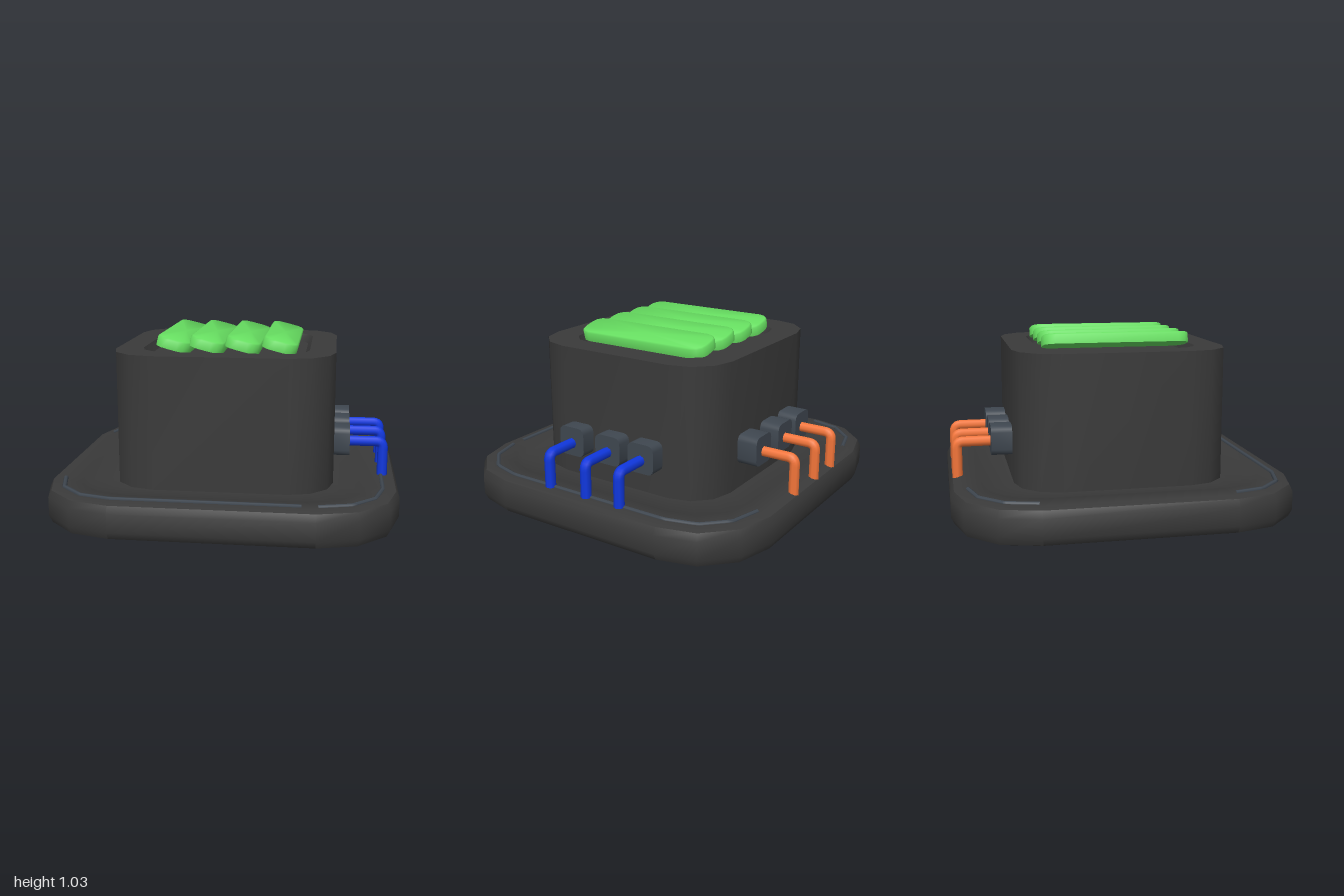
import * as THREE from 'three';
import { toCreasedNormals } from 'three/addons/utils/BufferGeometryUtils.js';

const paint = (color) => new THREE.MeshStandardMaterial({ color });

// Outline of a rectangle whose corners are cut into three facets
function outline(hx, hz, r) {
  const pts = [];
  for (let q = 0; q < 4; q++) {
    const sx = q === 0 || q === 3 ? 1 : -1, sz = q < 2 ? 1 : -1;
    for (let k = 0; k < 4; k++) {
      const a = (q + k / 3) * Math.PI / 2;
      pts.push([sx * (hx - r) + r * Math.cos(a), sz * (hz - r) + r * Math.sin(a)]);
    }
  }
  return pts;
}

// Skin through stacked outlines, each given as [halfX, halfZ, cornerRadius, y]
function loft(rings, crease = 0.75) {
  const pos = [], idx = [], n = 16;
  for (const [hx, hz, r, y] of rings) for (const [x, z] of outline(hx, hz, r)) pos.push(x, y, z);
  for (let k = 0; k < rings.length - 1; k++) {
    for (let i = 0; i < n; i++) {
      const a = k * n + i, b = k * n + (i + 1) % n;
      idx.push(a, a + n, b, b, a + n, b + n);
    }
  }
  const g = new THREE.BufferGeometry();
  g.setAttribute('position', new THREE.Float32BufferAttribute(pos, 3));
  g.setIndex(idx);
  return toCreasedNormals(g, crease);
}

// Tube that follows straight runs through the points
function wire(points, radius, sides) {
  const path = new THREE.CurvePath();
  for (let i = 1; i < points.length; i++) path.add(new THREE.LineCurve3(points[i - 1], points[i]));
  return new THREE.TubeGeometry(path, 60, radius, sides);
}

export function createModel() {
  const model = new THREE.Group();
  const dark = paint(0x3a3a3a), slate = paint(0x3f4750), green = paint(0x66dd60);
  const add = (name, geometry, material, parent = model) => {
    const mesh = new THREE.Mesh(geometry, material);
    mesh.name = name;
    parent.add(mesh);
    return mesh;
  };

  // Rounded base plate with a shallow channel around the housing
  add('base', loft([
    [0, 0, 0, 0], [0.94, 0.91, 0.39, 0], [0.98, 0.95, 0.43, 0.015], [1, 0.97, 0.45, 0.055],
    [1, 0.97, 0.45, 0.16], [0.98, 0.95, 0.43, 0.2], [0.94, 0.91, 0.39, 0.212],
    [0.81, 0.795, 0.32, 0.212], [0.78, 0.765, 0.3, 0.185], [0.6, 0.58, 0.23, 0.185], [0, 0, 0, 0.185],
  ]), dark);

  // Housing with a recess in the top
  add('housing', loft([
    [0.63, 0.61, 0.25, 0.18], [0.63, 0.61, 0.25, 0.945], [0.48, 0.455, 0.16, 0.945],
    [0.45, 0.43, 0.14, 0.9], [0, 0, 0, 0.9],
  ]), dark);

  // Four tilted slats
  [-0.29, -0.1, 0.105, 0.315].forEach((x) => {
    const slat = add('slat', loft([
      [0, 0, 0, -0.03], [0.1, 0.425, 0.07, -0.03], [0.1, 0.425, 0.07, 0.022],
      [0.092, 0.417, 0.062, 0.03], [0, 0, 0, 0.03],
    ], 0.9), green);
    slat.position.set(x, 0.98, -0.005);
    slat.rotation.z = -0.245;
  });

  // Sockets with bent cables, built pointing along +x
  function cableRow(name, color, offsets, start, depth, reach) {
    const row = new THREE.Group();
    row.name = name;
    const socketGeo = loft([[0, 0, 0, 0], [0.085, 0.085, 0.035, 0], [0.085, 0.085, 0.035, depth], [0, 0, 0, depth]]);
    socketGeo.rotateZ(-Math.PI / 2);
    const bend = 0.04, y = 0.41, path = new THREE.CurvePath();
    const v = (x, h) => new THREE.Vector3(x, h, 0);
    path.add(new THREE.LineCurve3(v(start + depth - 0.02, y), v(reach - bend, y)));
    path.add(new THREE.QuadraticBezierCurve3(v(reach - bend, y), v(reach, y), v(reach, y - bend)));
    path.add(new THREE.LineCurve3(v(reach, y - bend), v(reach, 0.19)));
    const cableGeo = new THREE.TubeGeometry(path, 40, 0.03, 8);
    const mat = paint(color);
    offsets.forEach((z) => {
      add('socket', socketGeo, slate, row).position.set(start, 0.42, z);
      add('cable', cableGeo, mat, row).position.z = z;
    });
    model.add(row);
    return row;
  }
  cableRow('leftCables', 0x1038e0, [-0.24, -0.015, 0.24], 0.625, 0.095, 0.912);
  cableRow('backCables', 0xf5763a, [-0.255, -0.035, 0.225], 0.605, 0.125, 0.922).rotation.y = Math.PI / 2;

  // Thin trim strips on the base rim
  const rim = outline(0.905, 0.875, 0.35);
  const strip = (pts) => add('trimStrip',
    wire(pts.map(([x, z]) => new THREE.Vector3(x, 0.212, z)), 0.013, 6), slate);
  strip([[0.47, 0.875], ...rim.slice(4, 8)]);
  strip([...rim.slice(12, 16), ...rim.slice(0, 4)]);
  strip(rim.slice(8, 12));

  return model;
}
